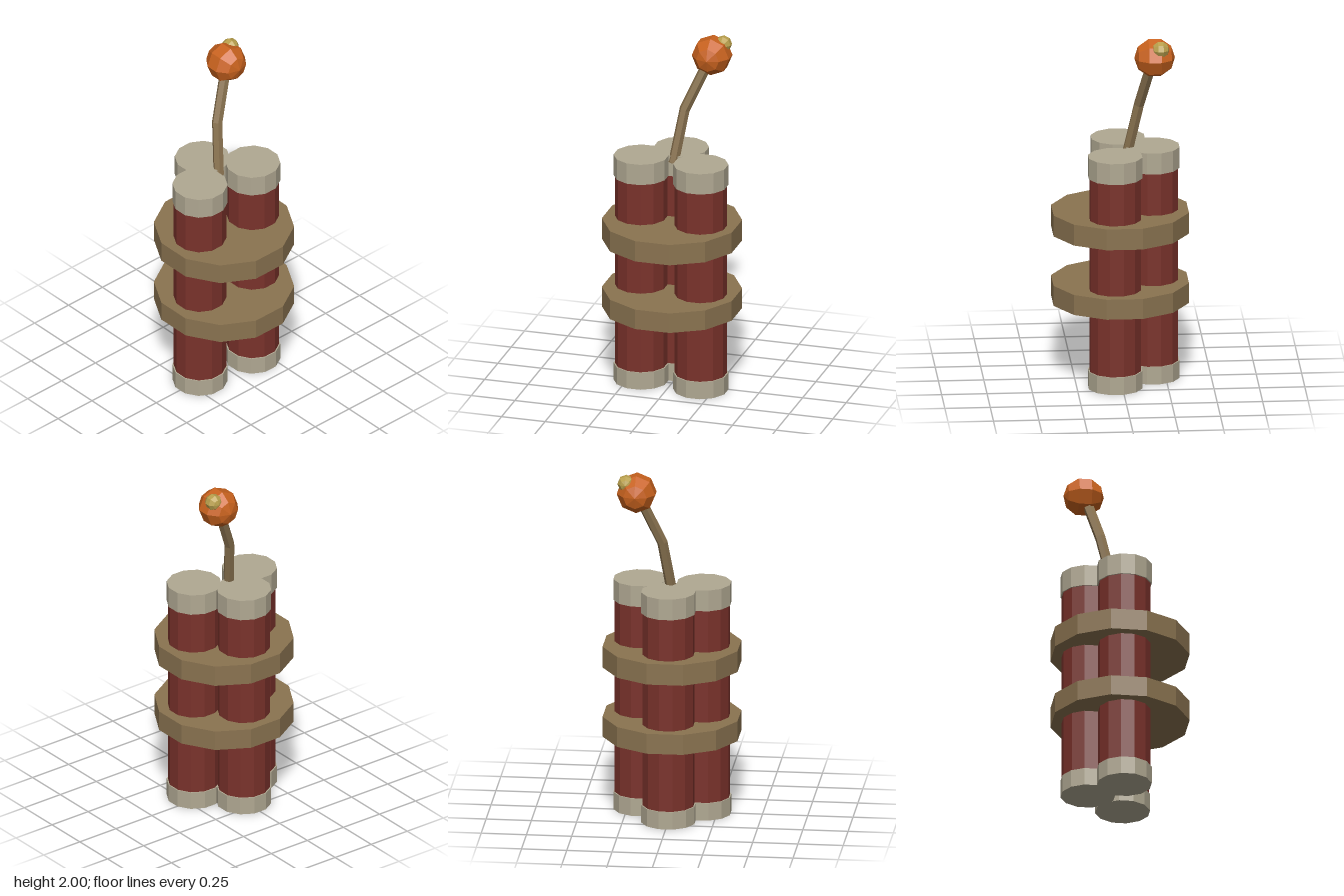
import * as THREE from 'three';

const mat = (color) => new THREE.MeshStandardMaterial({ color, flatShading: true });

export function createModel() {
  const model = new THREE.Group();
  const red = mat(0x7a322b), cream = mat(0xb0a892), rope = mat(0x8a7350);
  const orange = mat(0xc8621e), yellow = mat(0xb89f4c);

  const add = (name, geometry, material, parent, x = 0, y = 0, z = 0) => {
    const mesh = new THREE.Mesh(geometry, material);
    mesh.name = name;
    mesh.position.set(x, y, z);
    parent.add(mesh);
    return mesh;
  };

  // Twelve-sided upright prism with flat sides facing the axes
  const prism = (radius, y0, y1) =>
    new THREE.CylinderGeometry(radius, radius, y1 - y0, 12)
      .rotateY(Math.PI / 12).translate(0, (y0 + y1) / 2, 0);

  // Three capped sticks
  [[-0.177, 0], [0, -0.178], [0.177, 0.039]].forEach(([x, z], i) => {
    const stick = new THREE.Group();
    stick.name = `stick${i + 1}`;
    stick.position.set(x, 0, z);
    add('tube', prism(0.145, 0.05, 1.28), red, stick);
    add('bottomCap', prism(0.152, 0, 0.1), cream, stick);
    add('topCap', prism(0.152, 1.21, 1.33), cream, stick);
    model.add(stick);
  });

  // Two solid bands holding the bundle
  add('lowerBand', prism(0.386, 0.45, 0.565), rope, model);
  add('upperBand', prism(0.386, 0.85, 0.97), rope, model);

  // Bent fuse swept as a six-sided tube with a sharp bend
  const points = [[-0.003, 1.29, -0.04], [0.037, 1.575, -0.1], [0.16, 1.86, -0.165]]
    .map((p) => new THREE.Vector3(...p));
  const path = new THREE.CurvePath();
  path.add(new THREE.LineCurve3(points[0], points[1]));
  path.add(new THREE.LineCurve3(points[1], points[2]));
  add('fuse', new THREE.TubeGeometry(path, 2, 0.03, 6), rope, model);
  const up = new THREE.Vector3(0, 1, 0);
  // Closed ends of the fuse
  [[0, 1, -1], [2, 1, 1]].forEach(([end, mid]) => {
    const outward = points[end].clone().sub(points[mid]).normalize();
    const cap = add('fuseEnd', new THREE.CylinderGeometry(0.03, 0.03, 0.004, 6), rope, model,
      ...points[end].toArray());
    cap.quaternion.setFromUnitVectors(up, outward);
  });

  // Faceted balls with poles along z
  const ball = (radius) => new THREE.SphereGeometry(radius, 8, 5).rotateX(Math.PI / 2);
  add('flame', ball(0.112), orange, model, 0.176, 1.893, -0.178);
  add('spark', ball(0.048), yellow, model, 0.232, 1.954, -0.207);

  return model;
}
